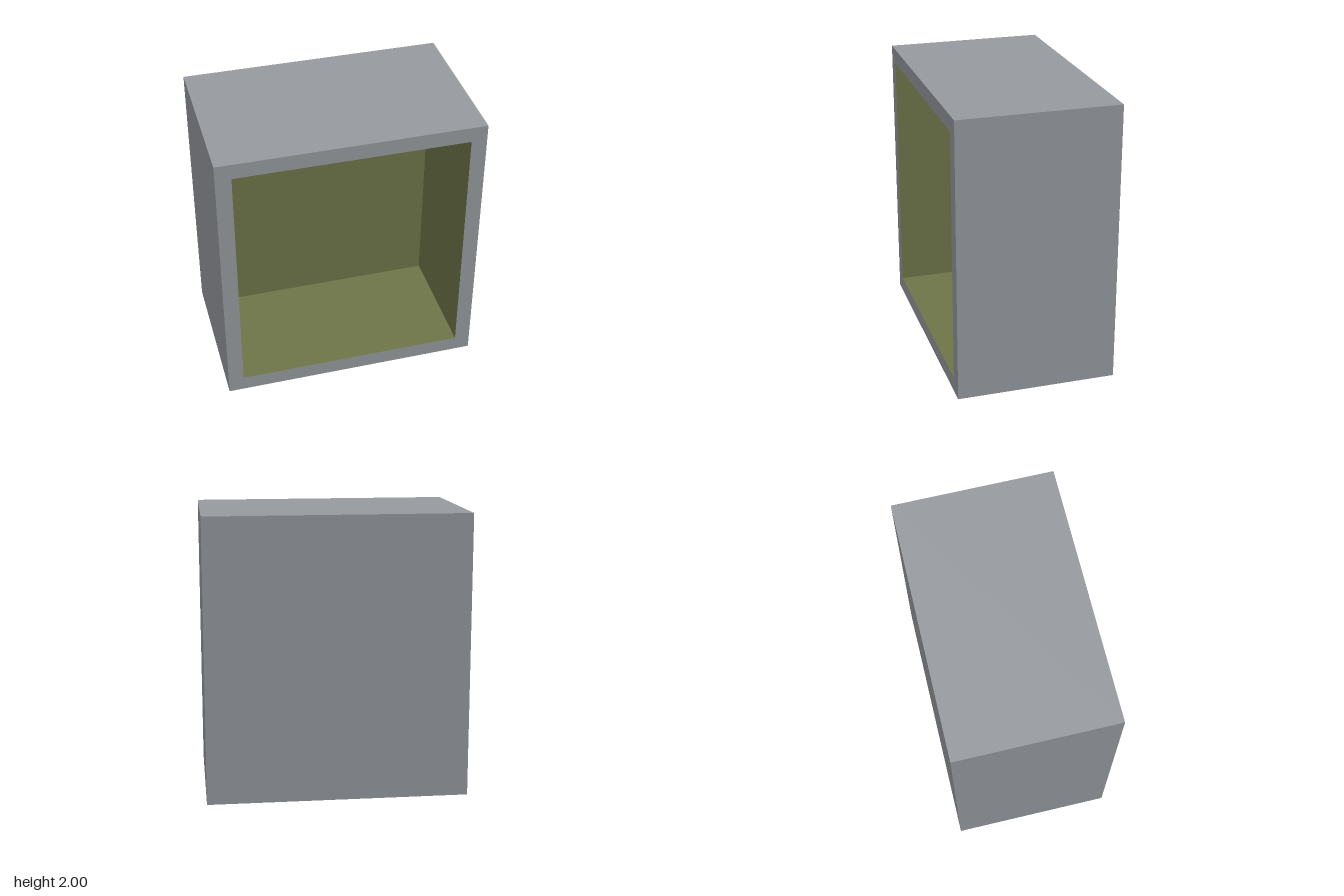
import * as THREE from 'three';

const WIDTH = 1.84, HEIGHT = 2, DEPTH = 1.13;
const RIM = 0.11, RECESS = 0.87;

// Box without its front (+z) face
function openBox(w, h, d) {
  const geometry = new THREE.BoxGeometry(w, h, d);
  const index = Array.from(geometry.index.array);
  index.splice(24, 6);
  geometry.setIndex(index);
  geometry.clearGroups();
  return geometry;
}

function rectangle(target, w, h) {
  target.moveTo(-w / 2, -h / 2);
  target.lineTo(w / 2, -h / 2);
  target.lineTo(w / 2, h / 2);
  target.lineTo(-w / 2, h / 2);
  target.closePath();
  return target;
}

export function createModel() {
  const model = new THREE.Group();
  model.name = 'openCabinet';
  const grey = new THREE.MeshStandardMaterial({ color: 0x969a9f });
  grey.name = 'casing grey';
  const olive = new THREE.MeshStandardMaterial({ color: 0x6d7548 });
  olive.name = 'lining olive';

  const add = (name, geometry, material, z) => {
    const mesh = new THREE.Mesh(geometry, material);
    mesh.name = name;
    mesh.position.set(0, HEIGHT / 2, z);
    model.add(mesh);
  };
  const innerW = WIDTH - 2 * RIM, innerH = HEIGHT - 2 * RIM;

  // Outer casing: sides, top, bottom and back
  add('casing', openBox(WIDTH, HEIGHT, DEPTH), grey, 0);

  // Front rim around the opening
  const rim = rectangle(new THREE.Shape(), WIDTH, HEIGHT);
  rim.holes.push(rectangle(new THREE.Path(), innerW, innerH));
  add('frontRim', new THREE.ShapeGeometry(rim), grey, DEPTH / 2);

  // Recess lining: an open box turned inside out
  const lining = openBox(innerW, innerH, RECESS);
  lining.scale(-1, 1, 1);
  lining.computeVertexNormals();
  add('recessLining', lining, olive, DEPTH / 2 - RECESS / 2);

  return model;
}
